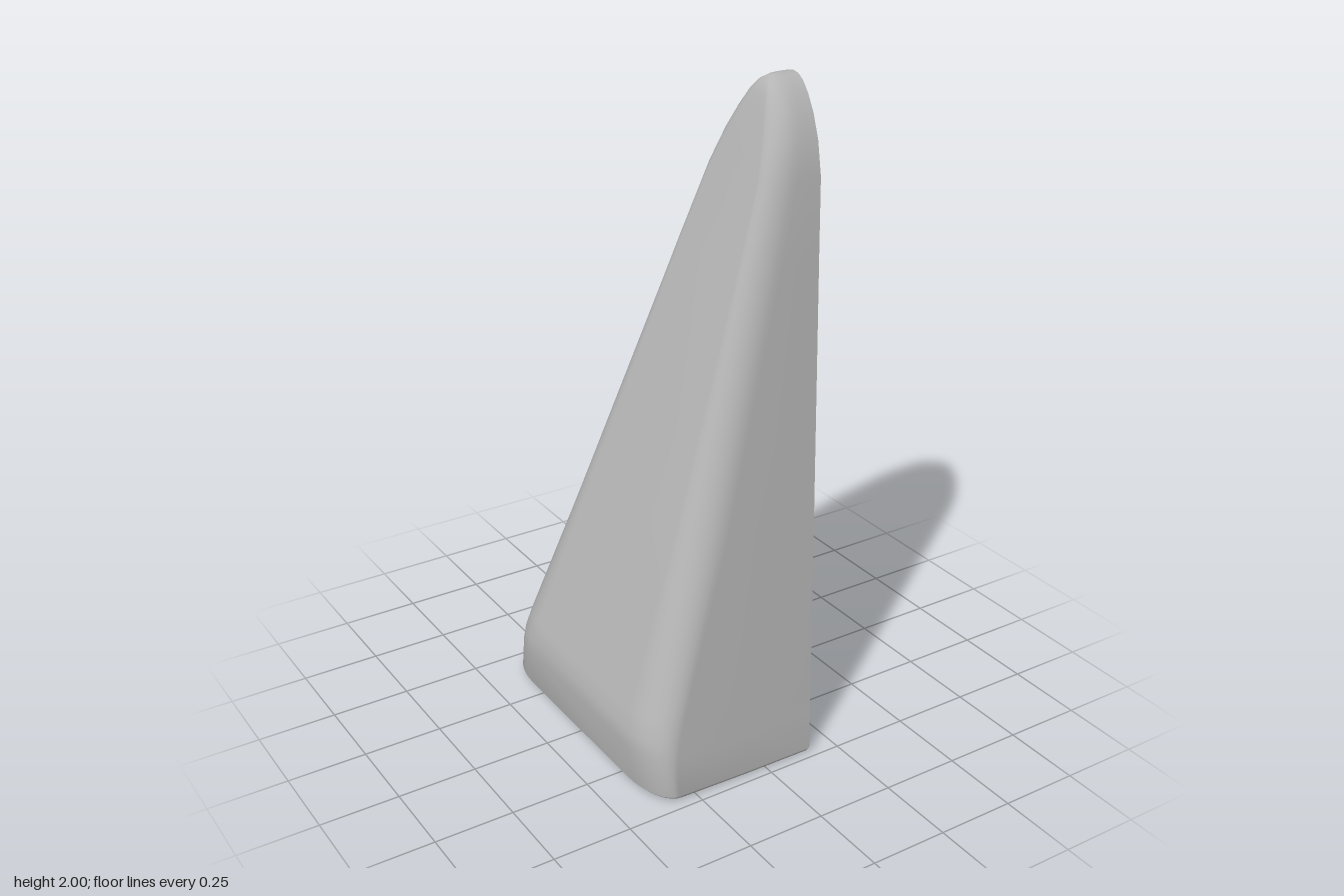
import * as THREE from 'three';
import { mergeVertices } from 'three/addons/utils/BufferGeometryUtils.js';

// Horizontal sections: y, half width, sloped face x, flat face x, corner depth in x, corner width in z
const SECTIONS = [
  [0, 0.465, -0.375, 0.155, 0.08, 0.16],
  [0.015, 0.475, -0.388, 0.16, 0.08, 0.165],
  [0.13, 0.455, -0.39, 0.173, 0.09, 0.15],
  [0.18, 0.446, -0.387, 0.179, 0.1, 0.145],
  [0.24, 0.436, -0.368, 0.186, 0.1, 0.14],
  [0.75, 0.348, -0.182, 0.244, 0.12, 0.105],
  [1.5, 0.219, 0.092, 0.328, 0.11, 0.065],
  [1.73, 0.18, 0.176, 0.354, 0.1, 0.06],
  [1.83, 0.151, 0.212, 0.362, 0.09, 0.065],
  [1.9, 0.117, 0.238, 0.368, 0.08, 0.06],
  [1.95, 0.083, 0.257, 0.372, 0.07, 0.05],
  [1.98, 0.052, 0.274, 0.376, 0.06, 0.035],
  [1.995, 0.026, 0.295, 0.378, 0.05, 0.02],
  [2, 0, 0.325, 0.378, 0.03, 0],
];

// Rounded outline from one back corner around the slope to the other
function wrapRow([y, w, slopeX, backX, rx, rz]) {
  const half = [[backX, w], [(backX + slopeX + rx) / 2, w * 0.995]];
  for (let i = 0; i <= 8; i++) {
    const a = (i / 8) * Math.PI / 2;
    half.push([slopeX + rx * (1 - Math.sin(a)), w * 0.98 - rz * (1 - Math.cos(a))]);
  }
  const mirrored = half.slice().reverse().map(([x, z]) => [x, -z]);
  return [...half, ...mirrored].map(([x, z]) => new THREE.Vector3(x, y, z));
}

// Slightly bowed line across the broad back face
function backRow([y, w, , backX]) {
  const row = [];
  for (let i = 0; i <= 8; i++) {
    const t = i / 4 - 1;
    row.push(new THREE.Vector3(backX + 0.01 * (1 - t * t) * Math.min(1, w / 0.05), y, w * t));
  }
  return row;
}

// Skin between rows of points, smooth within the part
function skin(rows) {
  const n = rows[0].length, index = [];
  for (let j = 0; j < rows.length - 1; j++) {
    for (let i = 0; i < n - 1; i++) {
      const a = j * n + i, b = a + 1, d = a + n, c = d + 1;
      index.push(a, c, b, a, d, c);
    }
  }
  let geometry = new THREE.BufferGeometry().setFromPoints(rows.flat());
  geometry.setIndex(index);
  geometry = mergeVertices(geometry, 1e-5);
  geometry.computeVertexNormals();
  return geometry;
}

export function createModel() {
  const group = new THREE.Group();
  group.name = 'taperedWedge';
  const grey = new THREE.MeshStandardMaterial({ color: 0xb4b4b4 });
  grey.name = 'plain grey';

  const add = (name, rows) => {
    const mesh = new THREE.Mesh(skin(rows), grey);
    mesh.name = name;
    group.add(mesh);
  };

  // Rounded sides and slope, then the broad face
  add('roundedSlope', SECTIONS.map(wrapRow));
  add('broadFace', SECTIONS.map(backRow));

  // Flat underside, fanned from the centre
  const ring = [...wrapRow(SECTIONS[0]), ...backRow(SECTIONS[0])];
  add('underside', [ring.map(() => new THREE.Vector3(-0.1, 0, 0)), ring]);
  return group;
}
